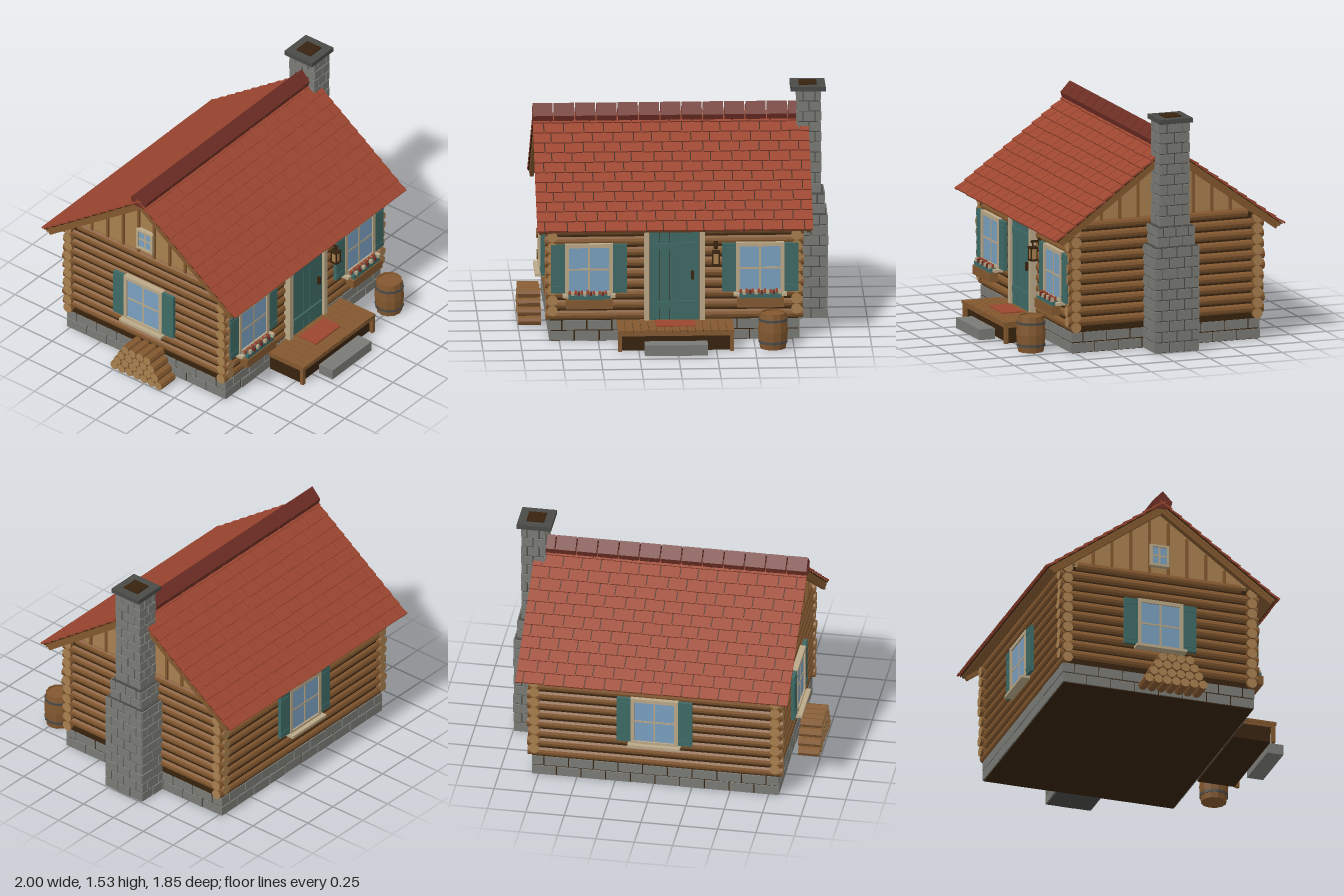
import * as THREE from 'three';
import { mergeGeometries } from 'three/addons/utils/BufferGeometryUtils.js';

const mat = (name, color) => Object.assign(new THREE.MeshStandardMaterial({ color }), { name });

export function createModel() {
  const M = {
    log: mat('log brown', 0x83582f), end: mat('cut wood', 0xa8804f), dark: mat('dark wood', 0x38230f),
    stone: mat('stone', 0x7a7a75), mortar: mat('dark stone', 0x4a4a47), roof: mat('roof red', 0x9c4630),
    ridge: mat('ridge red', 0x6e2e24), teal: mat('teal paint', 0x3e6a66), trim: mat('pale trim', 0xbaa888),
    glass: mat('window glass', 0x7a9fbf),
  };
  let seed = 7;
  const rnd = () => (seed = (seed * 16807) % 2147483647) / 2147483647 - 0.5;

  // helpers: geometry box, single box mesh, merged part
  const bg = (w, h, d, x = 0, y = 0, z = 0) => new THREE.BoxGeometry(w, h, d).translate(x, y, z);
  const add = (parent, name, geo, m) => {
    const mesh = new THREE.Mesh(geo, m);
    mesh.name = name;
    parent.add(mesh);
    return mesh;
  };
  const merge = (parent, name, geos, m) => add(parent, name, mergeGeometries(geos), m);
  const sub = (parent, name) => {
    const g = new THREE.Group();
    g.name = name;
    parent.add(g);
    return g;
  };
  const flat = (g) => { const f = g.toNonIndexed(); f.computeVertexNormals(); return f; };

  const root = new THREE.Group();
  root.name = 'logCabin';
  const house = sub(root, 'cabin');
  house.position.set(-0.01, 0, -0.125);
  const HX = 0.785, HZ = 0.625, R = 0.034;

  // coursed stonework round a solid core
  function masonry(name, x0, x1, y0, y1, z0, z1, courses, len, coreMat) {
    const g = sub(house, name), h = (y1 - y0) / courses, t = 0.03, geos = [];
    const cx = (x0 + x1) / 2, cz = (z0 + z1) / 2;
    for (let c = 0; c < courses; c++) for (let s = 0; s < 4; s++) {
      const w = s % 2 ? z1 - z0 : x1 - x0, d = s % 2 ? x1 - x0 : z1 - z0;
      const n = Math.max(1, Math.round(w / len)), step = w / n;
      for (let i = 0; i <= n; i++) {
        const a = Math.max(-w / 2, -w / 2 + (i - (c % 2) / 2) * step);
        const b = Math.min(w / 2, -w / 2 + (i + 1 - (c % 2) / 2) * step);
        if (b - a < 0.02) continue;
        geos.push(bg(b - a - 0.008, h - 0.008, t, (a + b) / 2, y0 + (c + 0.5) * h, d / 2 - t / 2 + rnd() * 0.005)
          .rotateY(s * Math.PI / 2).translate(cx, 0, cz));
      }
    }
    merge(g, 'stones', geos, M.stone);
    add(g, 'core', bg(x1 - x0 - 0.016, y1 - y0, z1 - z0 - 0.016, cx, (y0 + y1) / 2, cz), coreMat);
  }
  masonry('foundation', -0.805, 0.805, 0, 0.14, -0.65, 0.65, 2, 0.16, M.dark);

  // log walls, crossing at the corners
  const walls = sub(house, 'logWalls');
  add(walls, 'wallCore', bg(2 * HX + 0.034, 0.7, 2 * HZ + 0.034, 0, 0.475, 0), M.dark);
  const logGeo = (r, l, n = 12) => flat(new THREE.CylinderGeometry(r, r, l, n));
  for (let k = 0; k < 10; k++) for (const s of [-1, 1]) {
    const a = add(walls, 'longLog', logGeo(R, 1.66 + rnd() * 0.02), [M.log, M.end, M.end]);
    a.rotation.z = Math.PI / 2;
    a.position.set(0, 0.17 + 0.07 * k, s * HZ);
    const b = add(walls, 'sideLog', logGeo(R, (k < 9 ? 1.35 : 1.12) + rnd() * 0.02), [M.log, M.end, M.end]);
    b.rotation.x = Math.PI / 2;
    b.position.set(s * HX, 0.205 + 0.07 * k, 0);
  }

  // gables with battens
  const tri = new THREE.Shape([[-0.6, 0.85], [0.6, 0.85], [0, 1.286]].map((p) => new THREE.Vector2(...p)));
  for (const s of [-1, 1]) {
    const geo = new THREE.ExtrudeGeometry(tri, { depth: 0.04, bevelEnabled: false });
    add(house, 'gable', geo.translate(0, 0, -0.02).rotateY(-Math.PI / 2).translate(s * 0.778, 0, 0), M.end);
    const bat = [];
    for (let i = -4; i < 4; i++) {
      const z = (i + 0.5) * 0.127, h = 1.27 - 0.725 * Math.abs(z) - 0.86;
      bat.push(bg(0.014, h, 0.018, s * 0.804, 0.86 + h / 2, z));
    }
    merge(house, 'gableBattens', bat, M.log);
  }

  // roof slopes: deck, underlay, barge boards and overlapping tiles
  const A = Math.atan(0.725), L = 0.982, rows = 12, pitch = L / rows, W = 0.89, tw = (2 * W) / 14;
  for (const s of [0, 1]) {
    const side = sub(house, s ? 'backRoof' : 'frontRoof');
    side.rotation.y = s * Math.PI;
    const slope = sub(side, 'slope');
    slope.position.y = 1.346;
    slope.rotation.x = A;
    add(slope, 'deck', bg(1.75, 0.02, L - 0.01, 0, -0.034, L / 2 - 0.01), M.log);
    add(slope, 'underlay', bg(1.765, 0.006, L - 0.008, 0, -0.021, L / 2 - 0.006), M.dark);
    for (const x of [-1, 1]) add(slope, 'bargeBoard', bg(0.025, 0.04, L - 0.02, x * 0.86, -0.05, L / 2 - 0.015), M.log);
    const tiles = [];
    for (let r = 0; r < rows; r++) {
      const joints = [-W];
      for (let i = 0; i < 14; i++) {
        const x = -W + (i + (r % 2 ? 0.5 : 1)) * tw + rnd() * 0.025;
        if (x < W - 0.03) joints.push(x);
      }
      joints.push(W);
      for (let i = 1; i < joints.length; i++) {
        const a = joints[i - 1], b = joints[i];
        tiles.push(bg(b - a - 0.007, 0.012, pitch + 0.012).rotateX(-0.11)
          .translate((a + b) / 2, -0.011, (r + 0.5) * pitch - 0.004 + rnd() * 0.005));
      }
    }
    merge(slope, 'tiles', tiles, M.roof);
  }
  const capShape = new THREE.Shape([[-0.05, -0.05], [0.05, -0.05], [0.065, 0], [0, 0.07], [-0.065, 0]]
    .map((p) => new THREE.Vector2(...p)));
  const caps = [];
  for (let i = 0; i < 13; i++) {
    const w = (2 * W) / 13;
    caps.push(new THREE.ExtrudeGeometry(capShape, { depth: w - 0.008, bevelEnabled: false })
      .rotateY(-Math.PI / 2).translate(-W + (i + 1) * w - 0.004, 1.34, 0));
  }
  merge(house, 'ridgeTiles', caps, M.ridge);

  // stepped chimney
  masonry('chimneyBase', 0.79, 1.008, 0, 0.69, -0.155, 0.155, 10, 0.105, M.mortar);
  masonry('chimneyShoulder', 0.79, 0.99, 0.69, 0.82, -0.13, 0.13, 2, 0.09, M.mortar);
  masonry('chimneyStack', 0.81, 0.966, 0.82, 1.5, -0.105, 0.105, 10, 0.1, M.mortar);
  add(house, 'chimneyCap', bg(0.225, 0.03, 0.225, 0.883, 1.513, 0), M.mortar);
  add(house, 'flue', bg(0.115, 0.008, 0.115, 0.883, 1.531, 0), M.dark);

  // windows face +z about their own centre
  function makeWindow(name, x, y, z, turn, w, h, full, flowers) {
    const g = sub(house, name), f = w > 0.2 ? 0.025 : 0.016;
    g.position.set(x, y, z);
    g.rotation.y = turn;
    const frame = [bg(0.012, h - f, 0.024), bg(w - f, 0.012, 0.024)];
    for (const s of [-1, 1]) frame.push(bg(f, h, 0.04, s * (w - f) / 2), bg(w, f, 0.04, 0, s * (h - f) / 2));
    add(g, 'glass', bg(w - f, h - f, 0.009, 0, 0, 0.005), M.glass);
    if (full) {
      frame.push(bg(w + 0.03, 0.018, 0.065, 0, -h / 2, 0.018));
      const boards = [], rails = [];
      for (const s of [-1, 1]) {
        const sx = s * (w / 2 + 0.045);
        boards.push(bg(0.09, h - 0.02, 0.024, sx, 0.005, 0.003));
        for (const e of [-1, 1]) rails.push(bg(0.078, 0.02, 0.006, sx, 0.005 + e * (h / 2 - 0.045), 0.016));
      }
      merge(g, 'shutters', boards, M.teal);
      merge(g, 'shutterRails', rails, M.teal);
    }
    merge(g, 'frame', frame, M.trim);
    if (flowers) {
      add(g, 'flowerBox', bg(0.3, 0.06, 0.06, 0, -0.215, 0.05), M.log);
      add(g, 'foliage', bg(0.27, 0.03, 0.045, 0, -0.172, 0.05), M.teal);
      const sets = [[], [], []];
      for (let i = 0; i < 14; i++) sets[[0, 1, 0, 2][i % 4]].push(
        bg(0.016, 0.026, 0.018, -0.125 + i * 0.0192, -0.147 + rnd() * 0.008, 0.053 + (i % 2 ? 0.014 : -0.012)));
      merge(g, 'redFlowers', sets[0], M.roof);
      merge(g, 'paleFlowers', sets[1], M.trim);
      merge(g, 'darkFlowers', sets[2], M.ridge);
    }
  }
  for (const s of [-1, 1]) makeWindow('frontWindow', s * 0.55, 0.48, 0.665, 0, 0.31, 0.34, true, true);
  makeWindow('backWindow', 0, 0.48, -0.665, Math.PI, 0.31, 0.34, true, false);
  makeWindow('sideWindow', -0.825, 0.48, 0, -Math.PI / 2, 0.31, 0.34, true, false);
  makeWindow('gableWindow', -0.81, 0.98, 0, -Math.PI / 2, 0.13, 0.15, false, false);

  // plank door with battens, trim and handle
  const door = sub(house, 'door');
  door.position.z = 0.665;
  add(door, 'doorBacking', bg(0.33, 0.59, 0.02, 0, 0.435, -0.005), M.dark);
  const planks = [];
  for (let i = -2; i <= 2; i++) planks.push(bg(0.061, 0.585, 0.02, i * 0.064, 0.435, 0.003));
  for (const y of [0.245, 0.63]) planks.push(bg(0.29, 0.045, 0.012, 0, y, 0.018));
  merge(door, 'doorPlanks', planks, M.teal);
  merge(door, 'doorTrim', [bg(0.034, 0.6, 0.05, -0.178, 0.44, 0.005), bg(0.034, 0.6, 0.05, 0.178, 0.44, 0.005),
    bg(0.39, 0.03, 0.05, 0, 0.745, 0.005)], M.trim);
  add(door, 'doorHandle', bg(0.016, 0.055, 0.022, 0.115, 0.44, 0.02), M.dark);

  // wall lantern
  const lamp = sub(house, 'lantern');
  lamp.position.set(0.265, 0.555, 0.705);
  add(lamp, 'lampBody', bg(0.038, 0.07, 0.038), M.end);
  const iron = [bg(0.052, 0.012, 0.052, 0, 0.04), bg(0.052, 0.012, 0.052, 0, -0.04), bg(0.012, 0.014, 0.07, 0, 0.08, -0.02),
    bg(0.008, 0.04, 0.008, 0, 0.06), bg(0.03, 0.05, 0.01, 0, 0.075, -0.045)];
  for (const x of [-1, 1]) for (const z of [-1, 1]) iron.push(bg(0.008, 0.075, 0.008, x * 0.02, 0, z * 0.02));
  merge(lamp, 'lampFrame', iron, M.dark);

  // porch, mat and step
  const porch = sub(house, 'porch');
  const deck = [];
  for (let i = 0; i < 15; i++) deck.push(bg(0.046, 0.02, 0.285 + rnd() * 0.008, (i - 7) * 0.05, 0.132, 0.803));
  merge(porch, 'porchPlanks', deck, M.log);
  add(porch, 'porchUnderside', bg(0.72, 0.12, 0.25, 0, 0.061, 0.785), M.dark);
  const posts = [bg(0.74, 0.018, 0.02, 0, 0.112, 0.928)];
  for (const x of [-1, 1]) posts.push(bg(0.025, 0.122, 0.025, x * 0.36, 0.061, 0.928), bg(0.02, 0.018, 0.27, x * 0.36, 0.112, 0.8));
  merge(porch, 'porchFrame', posts, M.log);
  add(porch, 'doorMat', bg(0.255, 0.009, 0.14, 0, 0.146, 0.785), M.roof);
  add(house, 'frontStep', bg(0.405, 0.07, 0.11, -0.002, 0.035, 0.995), M.stone);

  // barrel
  const barrel = sub(house, 'barrel');
  barrel.position.set(0.625, 0, 0.86);
  const prof = [[0, 0], [0.083, 0], [0.092, 0.06], [0.096, 0.117], [0.092, 0.175], [0.083, 0.235], [0.074, 0.235], [0.074, 0.225], [0, 0.225]];
  add(barrel, 'staves', flat(new THREE.LatheGeometry(prof.map((p) => new THREE.Vector2(...p)), 12)), M.log);
  for (const y of [0.045, 0.19]) add(barrel, 'hoop', flat(new THREE.CylinderGeometry(0.0945, 0.0945, 0.016, 12)).translate(0, y, 0), M.mortar);

  // stacked firewood
  const pile = sub(house, 'woodpile');
  for (let r = 0; r < 4; r++) for (let i = 0; i < 7 - r; i++) {
    const l = add(pile, 'firewood', logGeo(0.03, 0.143 + rnd() * 0.012, 8), [M.log, M.end, M.end]);
    l.rotation.z = Math.PI / 2;
    l.position.set(-0.915, 0.03 + r * 0.053, 0.058 + (i - (6 - r) / 2) * 0.0608);
  }
  return root;
}
